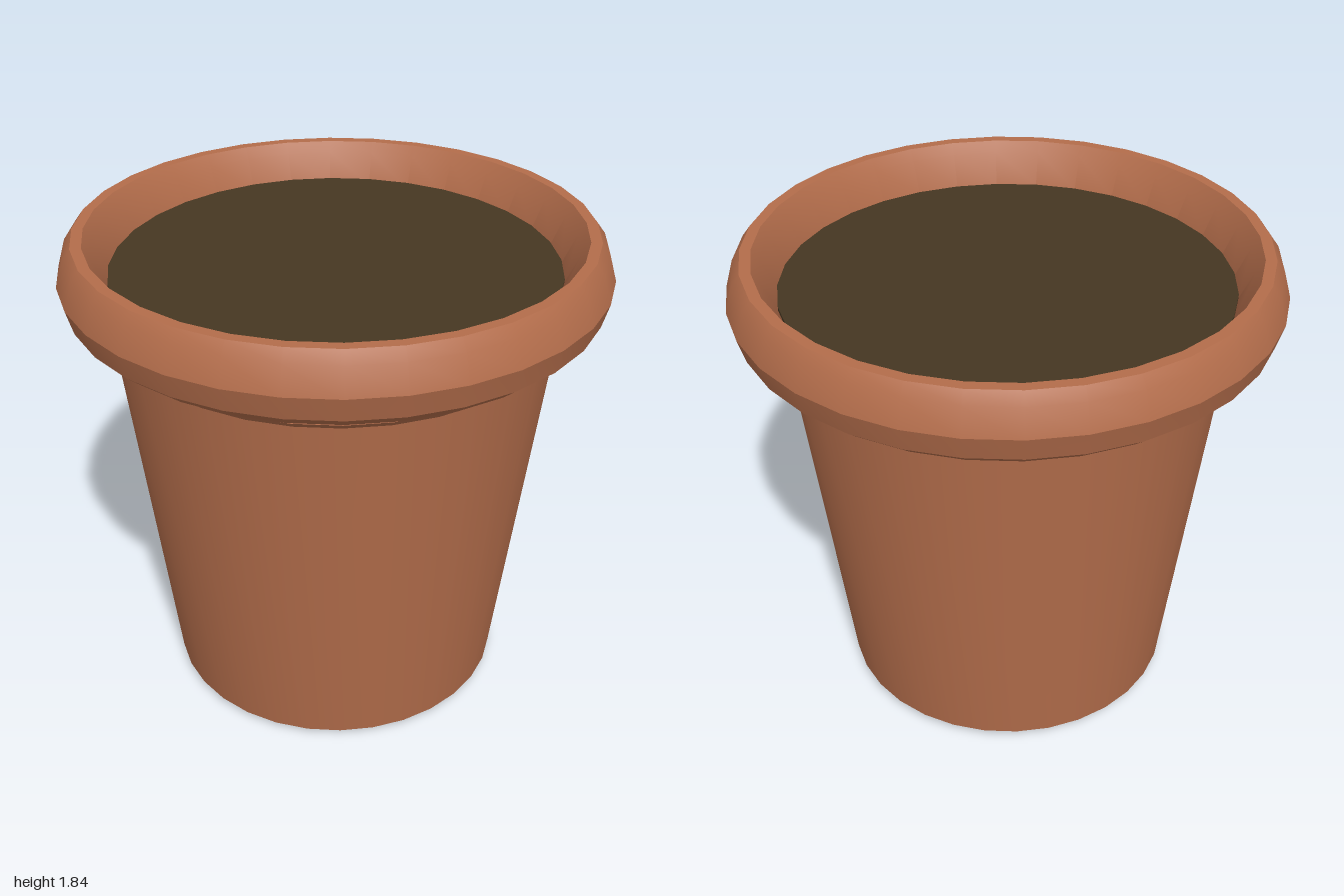
import * as THREE from 'three';
import { toCreasedNormals } from 'three/addons/utils/BufferGeometryUtils.js';

const SIDES = 32;
const LEAN = 0.01;

// Revolve [radius, height] pairs, smooth around the axis with crisp bevels
function revolve(name, profile, material) {
  const points = profile.map(([r, y]) => new THREE.Vector2(r, y));
  const geometry = toCreasedNormals(new THREE.LatheGeometry(points, SIDES), 0.42);
  const mesh = new THREE.Mesh(geometry, material);
  mesh.name = name;
  return mesh;
}

export function createModel() {
  const terracotta = new THREE.MeshStandardMaterial({ color: 0xb36d4b });
  terracotta.name = 'terracotta';
  const earth = new THREE.MeshStandardMaterial({ color: 0x463722 });
  earth.name = 'earth';

  const pot = new THREE.Group();
  pot.name = 'flowerPot';

  // Tapered body with a bevelled foot and a flared lip, leaning very slightly
  const body = revolve('body', [
    [0, 0.008], [0.625, 0.008], [0.65, 0.03], [0.818, 1.515], [0.838, 1.538], [0, 1.538],
  ], terracotta);
  body.rotation.set(LEAN, 0, LEAN);
  body.position.x = -0.002;
  pot.add(body);

  // Thick rolled rim with a sloping inner wall
  pot.add(revolve('rim', [
    [0.825, 1.56], [0.925, 1.567], [0.975, 1.61], [1, 1.7], [0.97, 1.8],
    [0.94, 1.84], [0.9, 1.84], [0.875, 1.8], [0.82, 1.68], [0.815, 1.56], [0.825, 1.56],
  ], terracotta));

  // Soil filling the rim, just showing in the gap below it
  const soil = revolve('soil', [
    [0, -0.165], [0.832, -0.165], [0.832, -0.13], [0.822, -0.12], [0.822, 0], [0, 0],
  ], earth);
  soil.position.y = 1.697;
  soil.rotation.set(LEAN, 0, LEAN);
  pot.add(soil);

  return pot;
}
